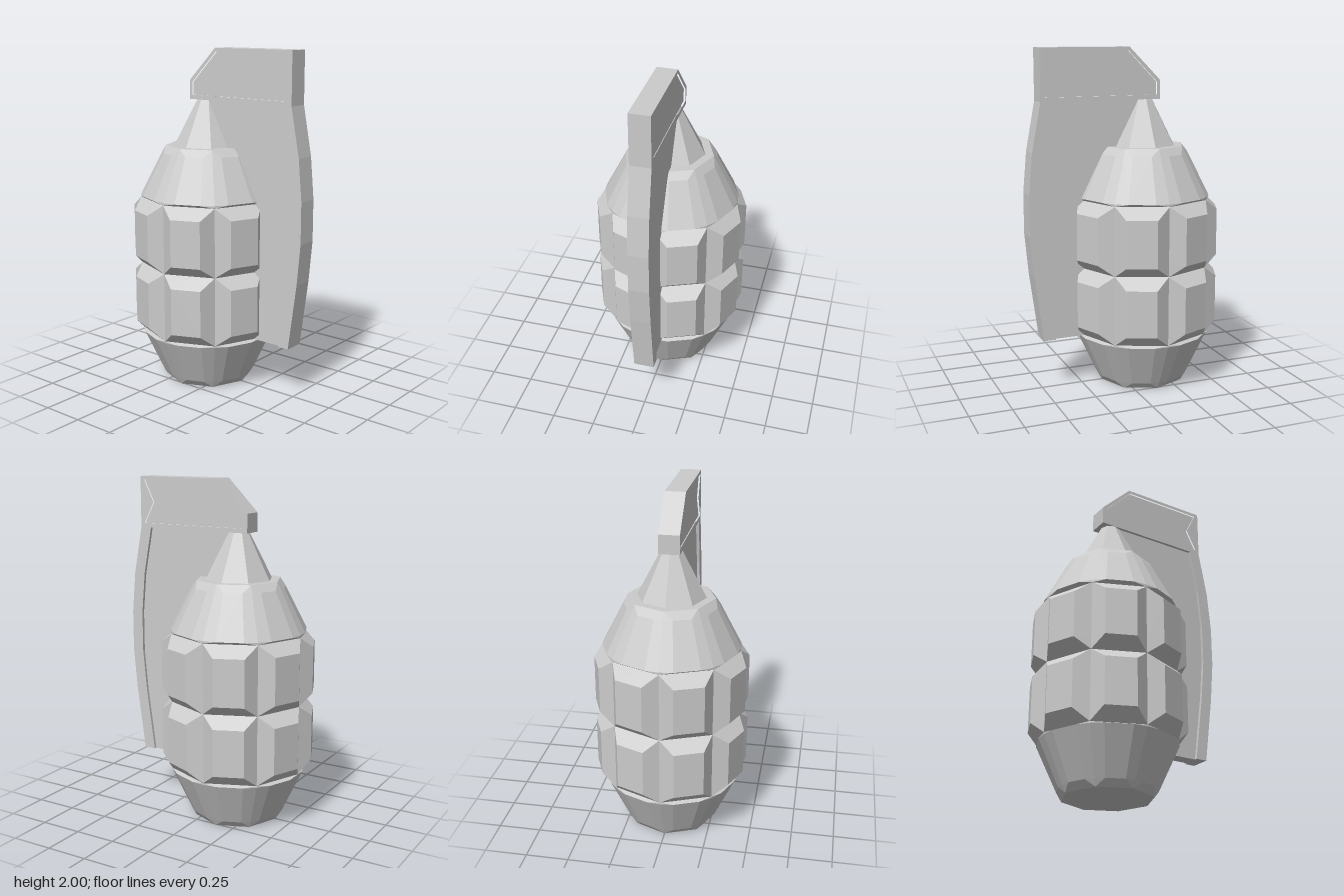
import * as THREE from 'three';

const CENTRE_X = -0.139;
const OCT = Math.cos(Math.PI / 8) / Math.cos(Math.PI / 16); // radius of a point on an octagon's edge

// Rings of the body: [height, radius at the grooves, radius at the block corners]
const octagon = (y, r) => [y, r, r * OCT];
const block = (y) => [y, 0.4, 0.45];
const round = (y, r) => [y, r, r];
const RINGS = [
  round(0, 0), octagon(0, 0.26), round(0.04, 0.28), round(0.3, 0.4),
  octagon(0.31, 0.4), block(0.38), block(0.655),
  octagon(0.72, 0.4), block(0.785), block(1.06),
  octagon(1.125, 0.4), round(1.14, 0.4), round(1.39, 0.272), octagon(1.432, 0.25), round(1.432, 0),
];

// Eight sectors, each with a groove and two block corners
function bodyGeometry() {
  const point = (j, k) => {
    const [y, groove, corner] = RINGS[k];
    const part = j % 3;
    const a = (Math.floor(j / 3) + [0, 0.25, 0.75][part]) * Math.PI / 4;
    const r = part === 0 ? groove : corner;
    return [r * Math.cos(a), y, -r * Math.sin(a)];
  };
  const pos = [];
  for (let k = 0; k < RINGS.length - 1; k++) {
    const lowerWider = RINGS[k][2] > RINGS[k + 1][2];
    for (let j = 0; j < 24; j++) {
      const a = point(j, k), b = point(j + 1, k), c = point(j + 1, k + 1), d = point(j, k + 1);
      let tris;
      if (RINGS[k][1] === 0) tris = [a, c, d];
      else if (RINGS[k + 1][1] === 0) tris = [a, b, c];
      // fold each quad so the block bevels stay flat
      else if ((j % 3 === 0) === lowerWider) tris = [a, b, d, b, c, d];
      else tris = [a, b, c, a, c, d];
      pos.push(...tris.flat());
    }
  }
  const geo = new THREE.BufferGeometry();
  geo.setAttribute('position', new THREE.Float32BufferAttribute(pos, 3));
  geo.computeVertexNormals();
  return geo;
}

// Flat plate cut from an outline, centred on z = 0
function plate(points, thickness, hole) {
  const toV = (list) => list.map(([x, y]) => new THREE.Vector2(x, y));
  const shape = new THREE.Shape(toV(points));
  if (hole) shape.holes.push(new THREE.Path(toV(hole)));
  const geo = new THREE.ExtrudeGeometry(shape, { depth: thickness, bevelEnabled: false });
  return geo.translate(0, 0, -thickness / 2);
}

export function createModel() {
  const group = new THREE.Group();
  const material = new THREE.MeshStandardMaterial({ color: 0xcccccc, flatShading: true });
  const add = (name, geo, x = 0, y = 0) => {
    const mesh = new THREE.Mesh(geo, material);
    mesh.name = name;
    mesh.position.set(x, y, 0);
    group.add(mesh);
  };

  add('segmentedBody', bodyGeometry(), CENTRE_X);

  // Eight-sided neck, its tip buried in the lever head
  const neck = new THREE.ConeGeometry(0.2, 0.385, 8);
  add('neck', neck, CENTRE_X, 1.43 + 0.385 / 2);

  // Lever: head with a notched recess, and a bowed rim running down from it
  const rimOuter = [[0.5, 1.7], [0.553, 1.42], [0.575, 1.18], [0.575, 0.94], [0.553, 0.7], [0.5, 0.31]];
  const rimInner = rimOuter.map(([x, y]) => [x - 0.07, y]).reverse();
  const head = [[-0.225, 1.7], [-0.225, 1.81], [-0.035, 2], [0.5, 2]];
  const recess = [[-0.205, 1.725], [-0.205, 1.8], [-0.027, 1.98], [0.475, 1.98], [0.41, 1.85], [0.475, 1.725]];
  add('leverFrame', plate([...head, ...rimOuter, ...rimInner], 0.12, recess));
  add('leverHeadPanel', plate(recess, 0.1));

  // Recessed web between the rim and the body
  add('leverWeb', plate([[CENTRE_X, 0.31], ...rimInner, [CENTRE_X, 1.7]], 0.085));

  return group;
}
